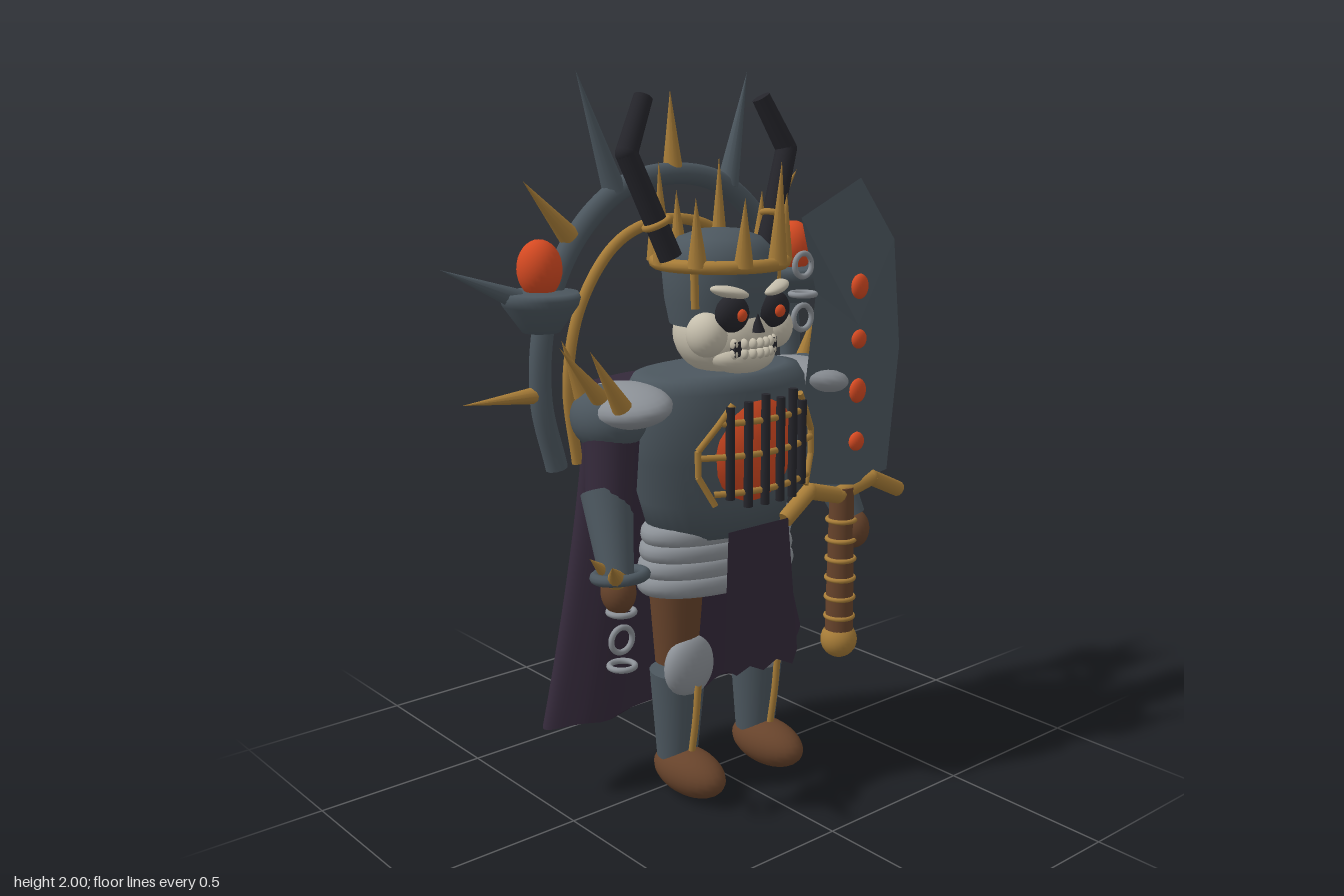
import * as THREE from 'three';

const mat = (name, color, side = THREE.FrontSide) => {
  const m = new THREE.MeshStandardMaterial({ color, side });
  m.name = name;
  return m;
};

export function createModel() {
  const steel = mat('dark steel', 0x4c575f), silver = mat('pale steel', 0x8c9197);
  const gold = mat('old gold', 0xa87d38), ember = mat('ember', 0xd64a22);
  const bone = mat('bone', 0xc6bfad), black = mat('black iron', 0x25252b);
  const leather = mat('leather', 0x67432b), cloth = mat('cloth', 0x34293a, THREE.DoubleSide);
  const root = new THREE.Group();
  const V = (p) => new THREE.Vector3(...p);

  const add = (name, geo, m, p = [0, 0, 0], s = [1, 1, 1], r = [0, 0, 0]) => {
    const o = new THREE.Mesh(geo, m);
    o.name = name;
    o.position.set(...p); o.scale.set(...s); o.rotation.set(...r);
    root.add(o);
    return o;
  };
  const ball = (name, m, p, s, r) => add(name, new THREE.SphereGeometry(1, 24, 16), m, p, s, r);
  // Tapered rod from a to b
  const rod = (name, m, a, b, r1, r2 = r1, seg = 16) => {
    const d = V(b).sub(V(a));
    const o = add(name, new THREE.CylinderGeometry(r2, r1, d.length(), seg), m);
    o.position.copy(V(a).addScaledVector(d, 0.5));
    o.quaternion.setFromUnitVectors(new THREE.Vector3(0, 1, 0), d.normalize());
    return o;
  };
  const spike = (name, m, a, b, r = 0.025) => rod(name, m, a, b, r, 0, 12);
  const ring = (name, m, p, R, t, r = [0, 0, 0]) => add(name, new THREE.TorusGeometry(R, t, 10, 32), m, p, [1, 1, 1], r);
  const tube = (name, m, pts, r) => add(name, new THREE.TubeGeometry(
    new THREE.CatmullRomCurve3(pts.map(V)), pts.length * 8, r, 10), m);
  const lathe = (name, m, pts, p, s) => add(name, new THREE.LatheGeometry(
    pts.map((q) => new THREE.Vector2(...q)), 36), m, p, s);
  const flat = [Math.PI / 2, 0, 0];

  // Legs, arms, shoulders and braziers, mirrored
  for (const s of [-1, 1]) {
    ball('foot', leather, [s * 0.15, 0.067, 0.075], [0.073, 0.067, 0.135]);
    rod('shin', steel, [s * 0.15, 0.1, 0.02], [s * 0.15, 0.36, 0.025], 0.058, 0.08, 24);
    tube('shinTrim', gold, [[s * 0.15, 0.34, 0.115], [s * 0.15, 0.24, 0.105], [s * 0.15, 0.12, 0.085]], 0.01);
    rod('thigh', leather, [s * 0.155, 0.39, 0.025], [s * 0.155, 0.66, 0.025], 0.06, 0.08, 24);
    ball('kneeGuard', silver, [s * 0.15, 0.385, 0.075], [0.082, 0.09, 0.045]);

    ball('shoulderCap', steel, [s * 0.355, 1.11, -0.005], [0.095, 0.09, 0.115]);
    ball('pauldron', silver, [s * 0.325, 1.145, 0.02], [0.11, 0.055, 0.16], [0, 0, -s * 0.15]);
    rod('sleeve', cloth, [s * 0.355, 1.1, 0.01], [s * 0.39, 0.87, 0.045], 0.075, 0.065, 20);
    rod('forearm', steel, [s * 0.39, 0.92, 0.03], [s * 0.432, 0.72, 0.125], 0.07, 0.045, 20);
    ball('hand', leather, [s * 0.435, 0.685, 0.135], [0.045, 0.06, 0.05]);
    for (const [z, x] of [[0.11, 0.5], [0.03, 0.53], [-0.055, 0.46]]) {
      spike('pauldronSpike', gold, [s * 0.395, 1.16, z], [s * x, 1.32, z * 1.1], 0.027);
    }

    lathe('brazier', steel, [[0, 1.33], [0.05, 1.33], [0.1, 1.4], [0.106, 1.42], [0.1, 1.435], [0, 1.438]], [s * 0.455, 0, -0.16]);
    ball('brazierFlame', ember, [s * 0.455, 1.495, -0.16], [0.06, 0.077, 0.06]);
    spike('brazierSpike', steel, [s * 0.52, 1.42, -0.17], [s * 0.73, 1.51, -0.19], 0.028);
    spike('haloLowSpike', gold, [s * 0.45, 1.16, -0.17], [s * 0.69, 1.16, -0.18], 0.026);
    spike('haloMidSpike', gold, [s * 0.35, 1.57, -0.17], [s * 0.485, 1.72, -0.18], 0.03);
    spike('haloHighSpike', steel, [s * 0.2, 1.68, -0.17], [s * 0.3, 2.0, -0.2], 0.033);

    // Bent horns
    const elbow = [s * 0.28, 1.79, -0.01];
    rod('hornBase', black, [s * 0.17, 1.52, 0.03], elbow, 0.032, 0.03);
    rod('hornTip', black, elbow, [s * 0.205, 1.93, -0.035], 0.03, 0.026);
    ball('hornBend', black, elbow, [0.03, 0.03, 0.03]);
    const band = ring('hornBand', gold, [s * 0.206, 1.61, 0.018], 0.033, 0.009);
    band.quaternion.setFromUnitVectors(new THREE.Vector3(0, 0, 1), V([s * 0.11, 0.27, -0.04]).normalize());

    // Skull features
    ball('cheek', bone, [s * 0.118, 1.32, 0.115], [0.052, 0.06, 0.06]);
    ball('eyeSocket', black, [s * 0.073, 1.378, 0.165], [0.052, 0.05, 0.035]);
    ball('eye', ember, [s * 0.068, 1.376, 0.197], [0.017, 0.017, 0.012]);
    ball('brow', bone, [s * 0.082, 1.435, 0.165], [0.055, 0.016, 0.03], [0, s * 0.35, s * 0.2]);
    rod('helmetTrim', gold, [s * 0.145, 1.39, 0.1], [s * 0.148, 1.5, 0.1], 0.011);
  }

  // Torso and banded waist
  lathe('torso', steel, [[0, 0.76], [0.22, 0.76], [0.25, 0.86], [0.285, 0.98], [0.295, 1.08], [0.285, 1.17], [0.262, 1.205], [0.22, 1.212], [0, 1.215]],
    [0, 0, 0.02], [1, 1, 0.64]);
  lathe('waistCore', steel, [[0, 0.6], [0.23, 0.6], [0.23, 0.78], [0, 0.78]], [0, 0, 0.02], [1, 1, 0.5]);
  for (let i = 0; i < 4; i++) {
    add('waistBand', new THREE.TorusGeometry(0.225 + i * 0.005, 0.03, 12, 40), silver,
      [0, 0.765 - i * 0.046, 0.02], [1, 0.52, 1], flat);
  }

  // Caged furnace in the chest
  ball('furnace', ember, [0, 1.015, 0.125], [0.16, 0.175, 0.118]);
  const cageZ = (x) => 0.25 - 1.5 * x * x;
  [-0.13, -0.08, -0.027, 0.027, 0.08, 0.13].forEach((x, i) => {
    const h = Math.abs(x) > 0.1 ? 0.125 : 0.15;
    rod('cageBar', black, [x, 1.02 - h, cageZ(x)], [x, 1.02 + h - (i % 2) * 0.015, cageZ(x)], 0.0125, 0.0125, 10);
  });
  for (const [y, w] of [[1.1, 0.15], [1.01, 0.2], [0.91, 0.17]]) {
    tube('cageRail', gold, [-1, -0.5, 0, 0.5, 1].map((u) => [u * w, y, cageZ(u * w) - 0.004]), 0.009);
  }
  for (const s of [-1, 1]) {
    const p = [[0.12, 1.15], [0.155, 1.1], [0.205, 1.03], [0.205, 0.96], [0.165, 0.88]].map(([x, y]) => [s * x, y, cageZ(x) - 0.004]);
    for (let i = 0; i < 4; i++) rod('cageFrame', gold, p[i], p[i + 1], 0.009, 0.009, 8);
  }

  // Ragged loincloth
  const loin = new THREE.Shape([[-0.105, 0], [0.115, 0], [0.14, -0.39], [0.12, -0.43], [0.06, -0.4], [0.01, -0.42], [-0.04, -0.395], [-0.09, -0.41], [-0.135, -0.38]]
    .reverse().map((q) => new THREE.Vector2(...q)));
  add('loincloth', new THREE.ShapeGeometry(loin), cloth, [0, 0.79, 0.19], [1, 1, 1], [-0.045, 0, 0]);

  // Cape: a thick oval drape, flared downward, with soft folds and a torn hem
  const cape = new THREE.CylinderGeometry(1, 1, 1, 72, 16), cp = cape.attributes.position;
  for (let i = 0; i < cp.count; i++) {
    const u = cp.getX(i), w = cp.getZ(i), v = 0.5 - cp.getY(i);
    const hem = 0.215 + 0.04 * Math.abs(Math.sin(u * 5.3 + 0.4)) * (1 - u * u) + Math.max(0, u - 0.8) * 0.4;
    const fold = 1 + Math.cos(u * 17) * (0.02 + 0.05 * v);
    cp.setXYZ(i, u * (0.31 + 0.18 * Math.pow(v, 1.4)), 1.165 + (hem - 1.165) * v, -0.165 + 0.015 * v + w * 0.098 * fold);
  }
  cape.computeVertexNormals();
  add('cape', cape, cloth);

  // Halo arches behind the head
  const arch = (pts, z) => [...pts.map(([x, y]) => [-x, y, z]), ...pts.slice(0, -1).reverse().map(([x, y]) => [x, y, z])];
  tube('haloArch', steel, arch([[0.41, 0.95], [0.455, 1.15], [0.43, 1.38], [0.33, 1.57], [0.18, 1.69], [0, 1.725]], -0.17), 0.031);
  tube('haloInnerArch', gold, arch([[0.335, 0.95], [0.36, 1.18], [0.31, 1.39], [0.18, 1.55], [0, 1.6]], -0.18), 0.016);
  spike('haloCrest', gold, [0, 1.74, -0.17], [0, 1.95, -0.18], 0.028);

  // Skull, helmet and crown
  ball('skull', bone, [0, 1.305, 0.045], [0.135, 0.115, 0.145]);
  lathe('helmet', steel, [[0.14, 1.335], [0.153, 1.4], [0.16, 1.48], [0.15, 1.53], [0.115, 1.565], [0.06, 1.585], [0, 1.59]], [0, 0, 0.03], [1, 1, 0.97]);
  ball('jaw', bone, [0, 1.255, 0.125], [0.1, 0.05, 0.07]);
  spike('noseHole', black, [0, 1.325, 0.185], [0, 1.375, 0.185], 0.02);
  for (let i = -3; i <= 3; i++) {
    for (const y of [1.296, 1.27]) ball('tooth', bone, [i * 0.023, y, 0.195 - i * i * 0.003], [0.0095, 0.015, 0.014]);
  }
  add('mouthGap', new THREE.BoxGeometry(0.15, 0.04, 0.02), black, [0, 1.283, 0.17]);
  ring('crownBand', gold, [0, 1.5, 0.03], 0.175, 0.018, flat);
  for (let i = 0; i < 9; i++) {
    const a = (20 + i * 40) * Math.PI / 180, c = Math.sin(a), d = Math.cos(a), tall = i % 3 ? 0.18 : 0.27;
    spike('crownSpike', gold, [c * 0.175, 1.5, 0.03 + d * 0.175], [c * 0.185, 1.5 + tall, 0.03 + d * 0.185], 0.027);
  }

  // Broad faceted blade: outline fanned to a raised centre, third value is half thickness
  const edge = [[0.21, 1.61, 0], [0.27, 1.4, 0], [0.235, 1.15, 0], [0.24, 0.85, 0], [0.4, 0.83, 0.036], [0.58, 0.84, 0], [0.62, 1.21, 0], [0.585, 1.53, 0], [0.44, 1.71, 0]];
  const pos = [], bz = 0.128, peak = [0.4, 1.3];
  edge.forEach(([x, y, h], i) => {
    const [X, Y, H] = edge[(i + 1) % edge.length];
    pos.push(...peak, bz + 0.042, x, y, bz + h, X, Y, bz + H);
    pos.push(...peak, bz - 0.042, X, Y, bz - H, x, y, bz - h);
    pos.push(x, y, bz + h, x, y, bz - h, X, Y, bz + H, X, Y, bz + H, x, y, bz - h, X, Y, bz - H);
  });
  const blade = new THREE.BufferGeometry();
  blade.setAttribute('position', new THREE.Float32BufferAttribute(pos, 3));
  blade.computeVertexNormals();
  add('blade', blade, steel);
  [1.41, 1.26, 1.11, 0.96].forEach((y, i) => ball('bladeGem', ember, [0.405, y, 0.167], [0.03 - (i % 2) * 0.003, 0.036 - (i % 2) * 0.008, 0.018]));

  // Guard, grip and pommel
  const guard = [[0.14, 0.77, 0.15], [0.24, 0.835, 0.145], [0.36, 0.8, 0.14], [0.5, 0.83, 0.14], [0.63, 0.77, 0.13]];
  guard.forEach((p, i) => {
    if (i < 4) rod('guard', gold, p, guard[i + 1], 0.024, 0.024, 12);
    if (i % 4) ball('guardJoint', gold, p, [0.024, 0.024, 0.024]);
  });
  rod('grip', leather, [0.388, 0.36, 0.13], [0.388, 0.82, 0.13], 0.043, 0.036, 20);
  for (let i = 0; i < 6; i++) ring('gripBand', gold, [0.388, 0.42 + i * 0.06, 0.13], 0.041, 0.007, flat);
  ball('pommel', gold, [0.388, 0.345, 0.13], [0.055, 0.055, 0.055]);

  // Right wrist cuff, spike and hanging chains
  ring('wristCuff', steel, [-0.425, 0.725, 0.13], 0.065, 0.015, [1.45, 0, 0]);
  spike('wristSpike', gold, [-0.45, 0.72, 0.15], [-0.545, 0.805, 0.26], 0.028);
  spike('wristSideSpike', gold, [-0.45, 0.73, 0.11], [-0.52, 0.79, 0.13], 0.022);
  const chain = (name, x, z, ys) => ys.forEach((y, i) => ring(name, silver, [x, y, z], 0.034, 0.008, i % 2 ? [0, 0, 0] : flat));
  chain('wristChain', -0.43, 0.14, [0.63, 0.552, 0.48]);
  ring('headChain', silver, [0.222, 1.48, 0.125], 0.032, 0.008);
  chain('headChain', 0.222, 0.125, [1.4, 1.335]);
  return root;
}
